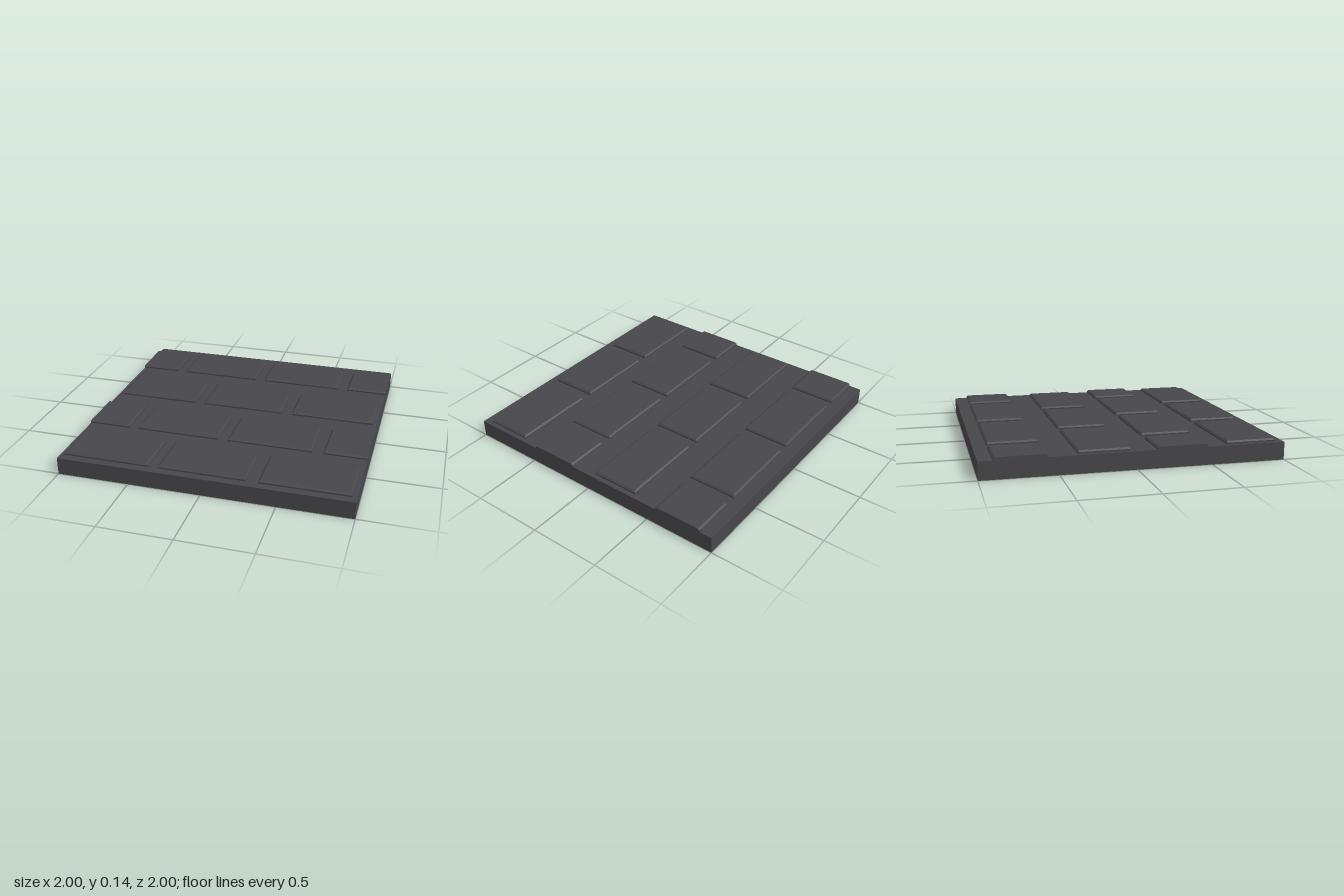
import * as THREE from 'three';

const BASE_H = 0.12;
const BRICK_H = 0.02;
const BEVEL = 0.012;

// Brick with a chamfered top; edges cut by the slab border stay vertical.
function brickGeometry(x0, x1, z0, z1) {
  const w = x1 - x0, d = z1 - z0;
  const geo = new THREE.BoxGeometry(w, BRICK_H, d, 1, 2, 1);
  geo.translate((x0 + x1) / 2, BASE_H + BRICK_H / 2, (z0 + z1) / 2);
  const p = geo.attributes.position;
  const top = BASE_H + BRICK_H - 1e-4;
  for (let i = 0; i < p.count; i++) {
    if (p.getY(i) < top) continue;
    const x = p.getX(i), z = p.getZ(i);
    if (Math.abs(x) < 0.999) p.setX(i, x + (x < (x0 + x1) / 2 ? BEVEL : -BEVEL));
    p.setZ(i, z + (z < (z0 + z1) / 2 ? BEVEL : -BEVEL));
  }
  const flat = geo.toNonIndexed();
  flat.computeVertexNormals();
  return flat;
}

export function createModel() {
  const model = new THREE.Group();
  model.name = 'brickSlab';
  const stone = new THREE.MeshStandardMaterial({ color: 0x47464a });
  stone.name = 'darkStone';

  // Mortar slab
  const base = new THREE.Mesh(new THREE.BoxGeometry(2, BASE_H, 2), stone);
  base.name = 'mortarSlab';
  base.position.y = BASE_H / 2;
  model.add(base);

  // Staggered courses: whole bricks alternate with rows cut at the border
  const whole = [[-0.97, -0.375], [-0.305, 0.29], [0.37, 0.967]];
  const cut = [[-1, -0.705], [-0.635, -0.04], [0.03, 0.622], [0.7, 1]];
  const courses = [
    [-0.91, -0.57, cut],
    [-0.38, -0.04, whole],
    [0.13, 0.47, cut],
    [0.605, 0.945, whole],
  ];
  courses.forEach(([z0, z1, spans], row) => {
    const course = new THREE.Group();
    course.name = `brickCourse${row + 1}`;
    spans.forEach(([x0, x1], i) => {
      const brick = new THREE.Mesh(brickGeometry(x0, x1, z0, z1), stone);
      brick.name = `brick${i + 1}`;
      course.add(brick);
    });
    model.add(course);
  });
  return model;
}
